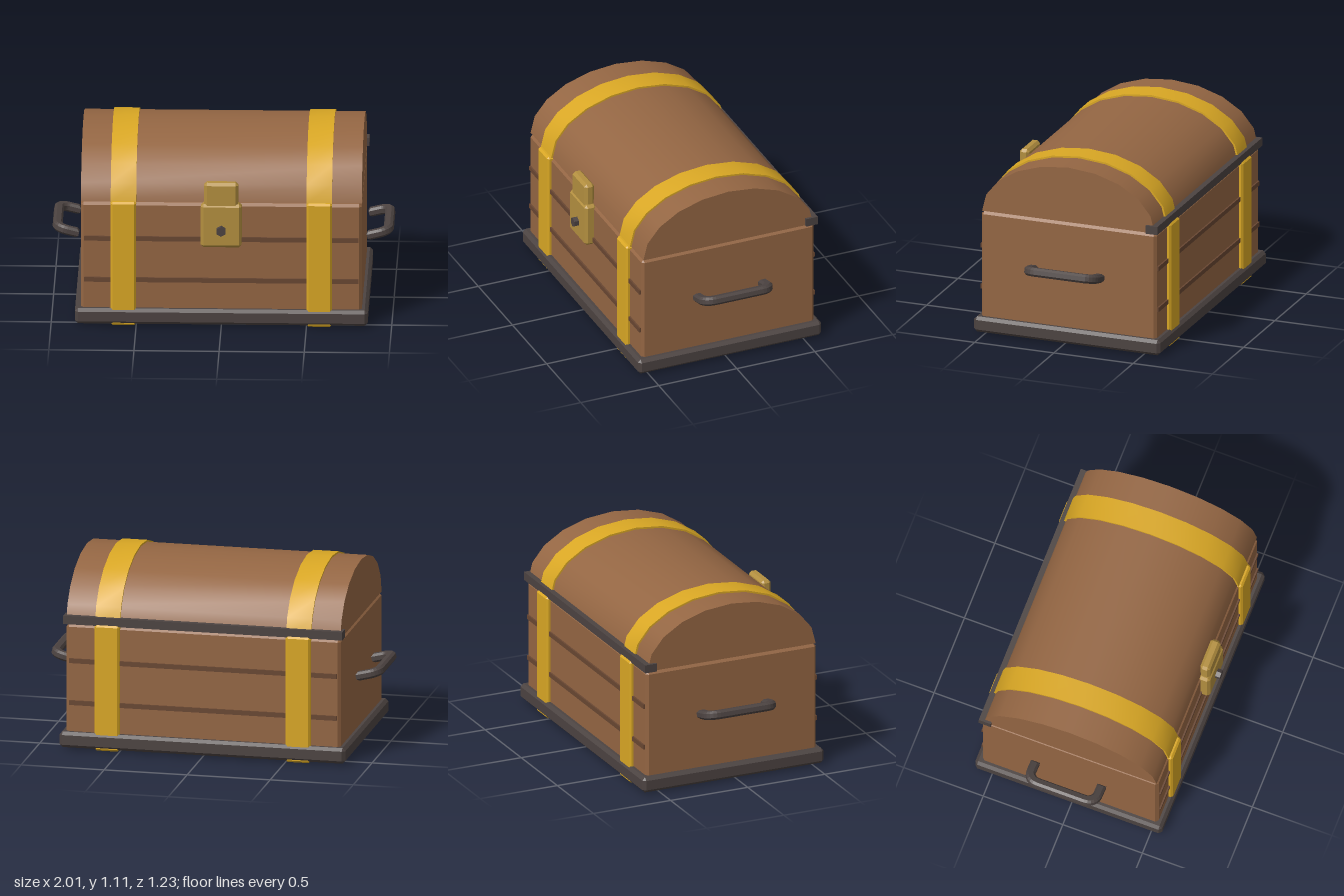
import * as THREE from 'three';
import { ConvexGeometry } from 'three/addons/geometries/ConvexGeometry.js';
import { toCreasedNormals } from 'three/addons/utils/BufferGeometryUtils.js';

const MID = -0.0225; // z of the chest's centre line

function material(name, color) {
  const m = new THREE.MeshStandardMaterial({ color });
  m.name = name;
  return m;
}

// Box between two corners with chamfered edges
function chamferBox(min, max, c) {
  const pts = [];
  for (let i = 0; i < 8; i++) {
    const side = [i & 1, (i >> 1) & 1, (i >> 2) & 1];
    for (let keep = 0; keep < 3; keep++) {
      const p = side.map((s, a) => (s ? max[a] : min[a]) + (a === keep ? 0 : s ? -c : c));
      pts.push(new THREE.Vector3(...p));
    }
  }
  return new ConvexGeometry(pts);
}

// Half-ellipse vault running along x, standing on y = 0
function vault(halfDepth, height, width, inner) {
  const arc = (a, b) => Array.from({ length: 11 }, (_, i) => {
    const t = (i / 10) * Math.PI;
    return new THREE.Vector2(a * Math.cos(t), b * Math.sin(t));
  });
  const pts = arc(halfDepth, height);
  if (inner) pts.push(...arc(halfDepth - inner, height - inner).reverse());
  const g = new THREE.ExtrudeGeometry(new THREE.Shape(pts), { depth: width, bevelEnabled: false });
  g.translate(0, 0, -width / 2).rotateY(-Math.PI / 2);
  return toCreasedNormals(g, 0.6);
}

// Flat U-shaped grip with bevelled edges, lying in the xz plane
function gripGeometry() {
  const L = 0.157, w = 0.236, t = 0.055, R = 0.085, r = 0.035;
  const s = new THREE.Shape();
  s.moveTo(0, -w);
  s.lineTo(L - R, -w);
  s.absarc(L - R, -w + R, R, -Math.PI / 2, 0, false);
  s.lineTo(L, w - R);
  s.absarc(L - R, w - R, R, 0, Math.PI / 2, false);
  s.lineTo(0, w);
  s.lineTo(0, w - t);
  s.lineTo(L - t - r, w - t);
  s.absarc(L - t - r, w - t - r, r, Math.PI / 2, 0, true);
  s.lineTo(L - t, -w + t + r);
  s.absarc(L - t - r, -w + t + r, r, 0, -Math.PI / 2, true);
  s.lineTo(0, -w + t);
  s.closePath();
  const b = 0.013, h = 0.052;
  const g = new THREE.ExtrudeGeometry(s, {
    depth: h - 2 * b, bevelThickness: b, bevelSize: b, bevelOffset: -b, bevelSegments: 1, curveSegments: 3,
  });
  return g.translate(0, 0, b - h / 2).rotateX(-Math.PI / 2);
}

export function createModel() {
  const chest = new THREE.Group();
  chest.name = 'chest';
  const wood = material('wood', 0x946643);
  const darkWood = material('dark wood', 0x694732);
  const gold = material('gold', 0xd9a724);
  const brass = material('brass', 0xb38f3f);
  const iron = material('iron', 0x4c4341);

  const add = (name, geometry, mat, parent = chest) => {
    const mesh = new THREE.Mesh(geometry, mat);
    mesh.name = name;
    parent.add(mesh);
    return mesh;
  };

  // Base and body
  add('base', chamferBox([-0.86, 0.01, -0.61], [0.86, 0.105, 0.565], 0.018), iron);
  add('body', chamferBox([-0.825, 0.03, -0.575], [0.825, 0.755, 0.53], 0.016), wood);

  // Plank seams on front and back
  for (const y of [0.28, 0.535]) {
    for (const [name, z] of [['frontSeam', 0.53], ['backSeam', -0.575]]) {
      add(name, new THREE.BoxGeometry(1.61, 0.028, 0.02), darkWood).position.set(0, y, z);
    }
  }

  // Domed lid
  add('lid', vault(0.545, 0.34, 1.65), wood).position.set(0, 0.76, MID);

  // Straps around the body and over the lid
  for (const s of [-1, 1]) {
    const strap = new THREE.Group();
    strap.name = s > 0 ? 'leftStrap' : 'rightStrap';
    strap.position.x = s * 0.575;
    add('bodyStrap', chamferBox([-0.075, 0, -0.6], [0.075, 0.765, 0.555], 0.012), gold, strap);
    add('lidStrap', vault(0.556, 0.351, 0.15, 0.03), gold, strap).position.set(0, 0.76, MID);
    chest.add(strap);
  }

  // Hinge rail along the back
  add('hingeRail', new THREE.BoxGeometry(1.68, 0.05, 0.075), iron).position.set(0, 0.783, -0.552);

  // Lock with hasp and hexagonal stud
  const lock = new THREE.Group();
  lock.name = 'lock';
  chest.add(lock);
  add('lockPlate', chamferBox([-0.12, 0.498, 0.51], [0.12, 0.765, 0.585], 0.016), brass, lock);
  add('hasp', chamferBox([-0.1, 0.72, 0.515], [0.1, 0.895, 0.577], 0.016), brass, lock);
  const stud = new THREE.CylinderGeometry(0.03, 0.03, 0.06, 6).rotateX(Math.PI / 2);
  add('lockStud', toCreasedNormals(stud, 0.5), iron, lock).position.set(0, 0.608, 0.585);

  // Tilted side handles
  const grip = gripGeometry();
  for (const s of [-1, 1]) {
    const handle = new THREE.Group();
    handle.name = s > 0 ? 'leftHandle' : 'rightHandle';
    handle.position.set(s * 0.847, 0.447, MID);
    handle.rotation.y = s > 0 ? 0 : Math.PI;
    add('grip', grip, iron, handle).rotation.z = 0.24;
    chest.add(handle);
  }

  return chest;
}
